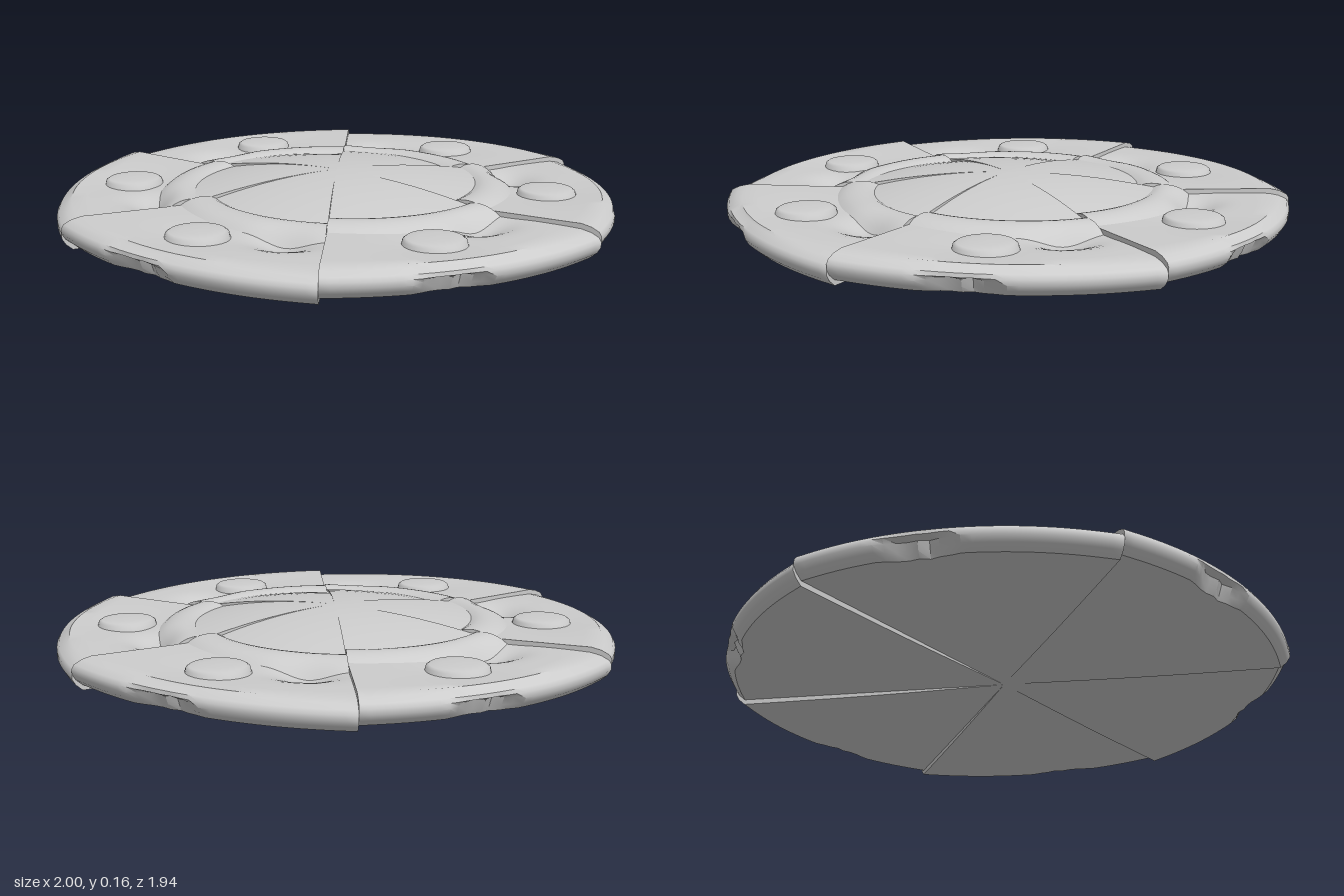
import * as THREE from 'three';
import { toCreasedNormals } from 'three/addons/utils/BufferGeometryUtils.js';

const SPAN = Math.PI / 3, STEPS = 30;
const lerp = THREE.MathUtils.lerp;
const bell = (x, c, w) => Math.exp(-(((x - c) / w) ** 2));

// Each sixth spirals slightly inward and rises from its start (t = 0) to its end (t = 1)
const ringIn = t => lerp(0.52, 0.462, t);
const ringOut = t => lerp(0.645, 0.59, t);
const lift = (r, t) => 0.018 * t * Math.min(1, r);
const line = (n, f) => Array.from({ length: n + 1 }, (_, i) => f(i / n));

// Plate height, with a pit beside the ring and a shallow hollow round the knob
function plateY(r, t) {
  const pit = 0.04 * bell(t, 0.2, 0.14) * bell(r, 0.66, 0.08);
  const hollow = 0.012 * bell(t, 0.55, 0.2) * bell(r, 0.74, 0.13);
  return 0.096 + lift(r, t) - pit - hollow;
}

// Radial cross-sections [radius, height], running outward on top and inward below
const profiles = {
  dome: t => line(8, s => {
    const r = s * ringIn(t);
    return [r, 0.167 - 0.052 * s * s];
  }),
  ring: t => line(8, s => {
    const r = lerp(ringIn(t), ringOut(t), s);
    const edge = lerp(0.115, plateY(r, t), s);
    return [r, edge + 0.018 * Math.sin(Math.PI * s) ** 0.7];
  }),
  plate: t => line(10, s => {
    const r = lerp(ringOut(t), 0.88, s);
    return [r, plateY(r, t)];
  }),
  rim: t => {
    const h = lift(1, t), out = 1 - 0.028 * Math.sin(Math.PI * t) ** 0.8;
    // Ragged chip broken out of the lower edge
    const chip = Math.max(0, 1 - Math.abs(t - 0.6) / 0.13);
    const bite = chip > 0 ? 0.035 * Math.sqrt(chip) * (1 + 0.3 * Math.sin(t * 70)) : 0;
    return [
      [0.88, plateY(0.88, t)], [0.93, 0.095 + h], [out - 0.035, 0.088 + h],
      [out - 0.008, 0.075 + h], [out - bite * 0.2, 0.062 + h],
      [out - bite, 0.044 + h + bite * 0.3], [out - 0.012 - bite, 0.024 + h],
      [out - 0.035 - bite * 0.6, 0.004 + h],
    ];
  },
  base: t => {
    const end = profiles.rim(t).at(-1);
    return line(6, s => {
      const r = end[0] * (1 - s);
      return [r, lerp(end[1], 0.012, s) - 0.004 * Math.sin(Math.PI * s) * (1 - t)];
    });
  },
};

// Sweep a changing profile through one sixth of a turn
function sweep(profile) {
  const pos = [], index = [];
  let n = 0;
  for (let i = 0; i <= STEPS; i++) {
    const t = i / STEPS, a = t * SPAN, row = profile(t);
    n = row.length;
    for (const [r, y] of row) pos.push(r * Math.cos(a), Math.max(0, y), r * Math.sin(a));
  }
  for (let i = 0; i < STEPS; i++) {
    for (let j = 0; j < n - 1; j++) {
      const p = i * n + j, q = p + n;
      index.push(p, q, p + 1, q, q + 1, p + 1);
    }
  }
  return finish(pos, index);
}

// Close the cut face at either end of a sixth
function cutFace(t) {
  const pts = Object.values(profiles).flatMap((f, k) => f(t).slice(k ? 1 : 0))
    .map(([r, y]) => new THREE.Vector2(r, Math.max(0, y)));
  const a = t * SPAN;
  const pos = pts.flatMap(p => [p.x * Math.cos(a), p.y, p.x * Math.sin(a)]);
  return finish(pos, THREE.ShapeUtils.triangulateShape(pts, []).flat());
}

function finish(pos, index) {
  const g = new THREE.BufferGeometry();
  g.setAttribute('position', new THREE.Float32BufferAttribute(pos, 3));
  g.setIndex(index);
  return toCreasedNormals(g, 0.6);
}

export function createModel() {
  const model = new THREE.Group();
  model.name = 'roundShield';
  const stone = new THREE.MeshStandardMaterial({ color: 0xcccccc, side: THREE.DoubleSide });
  stone.name = 'paleGrey';

  const parts = Object.entries(profiles).map(([name, f]) => [name, sweep(f)]);
  parts.push(['startCut', cutFace(0)], ['endCut', cutFace(1)]);

  // Low round knob with a softened edge
  const knob = new THREE.LatheGeometry([
    [0.115, -0.02], [0.104, 0.0], [0.1, 0.016], [0.09, 0.023], [0.05, 0.026], [0, 0.027],
  ].map(([x, y]) => new THREE.Vector2(x, y)), 32);

  for (let k = 0; k < 6; k++) {
    const sector = new THREE.Group();
    sector.name = `sector${k + 1}`;
    sector.rotation.y = -k * SPAN;
    for (const [name, geometry] of parts) {
      const mesh = new THREE.Mesh(geometry, stone);
      mesh.name = name;
      sector.add(mesh);
    }
    const boss = new THREE.Mesh(knob, stone);
    boss.name = 'knob';
    const a = 0.55 * SPAN;
    boss.position.set(0.74 * Math.cos(a), 0.094, 0.74 * Math.sin(a));
    sector.add(boss);
    model.add(sector);
  }
  return model;
}
